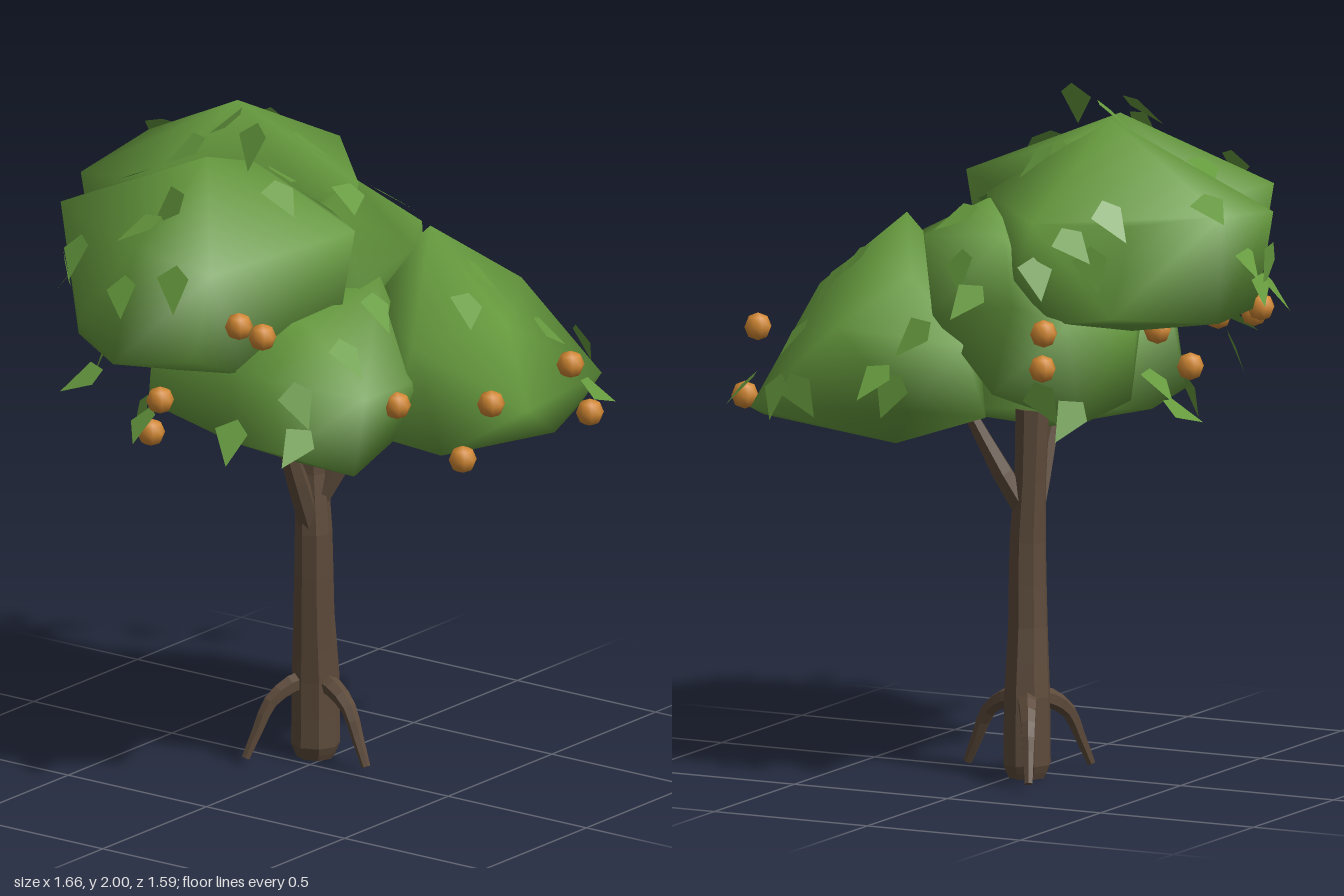
import * as THREE from 'three';
import { mergeVertices } from 'three/addons/utils/BufferGeometryUtils.js';
import { ConvexGeometry } from 'three/addons/geometries/ConvexGeometry.js';

const V = (p) => new THREE.Vector3(p[0], p[1], p[2]);
const material = (name, color, extra = {}) =>
  Object.assign(new THREE.MeshStandardMaterial({ color, ...extra }), { name });

// Faceted limb: a capped cylinder bent along [x, y, z, radius] stations
function limb(stations, sides = 7) {
  const curve = new THREE.CatmullRomCurve3(stations.map(V));
  const last = stations.length - 1;
  const geo = new THREE.CylinderGeometry(1, 1, 1, sides, last * 2);
  const pos = geo.attributes.position;
  const up = new THREE.Vector3(0, 1, 0), q = new THREE.Quaternion();
  for (let i = 0; i < pos.count; i++) {
    const t = THREE.MathUtils.clamp(pos.getY(i) + 0.5, 0, 1);
    const k = Math.min(Math.floor(t * last), last - 1);
    const r = THREE.MathUtils.lerp(stations[k][3], stations[k + 1][3], t * last - k);
    q.setFromUnitVectors(up, curve.getTangent(t));
    const v = new THREE.Vector3(pos.getX(i) * r, 0, pos.getZ(i) * r).applyQuaternion(q).add(curve.getPoint(t));
    pos.setXYZ(i, v.x, v.y, v.z);
  }
  const flat = geo.toNonIndexed();
  flat.computeVertexNormals();
  return flat;
}

// Smooth-shaded foliage clump: hull around a few corner points
function clump(points) {
  const hull = new ConvexGeometry(points.map(V));
  hull.deleteAttribute('normal');
  const geo = mergeVertices(hull, 1e-4);
  geo.computeVertexNormals();
  return geo;
}

const clumps = {
  foliageBackRight: [
    [-0.31, 1.91, -0.14], [-0.68, 1.73, -0.12], [-0.43, 1.72, -0.58], [-0.17, 1.72, -0.55],
    [-0.14, 1.86, -0.1], [-0.17, 1.73, 0.29], [-0.64, 1.68, 0.12], [-0.75, 1.39, -0.15],
    [-0.67, 1.42, 0.08], [-0.62, 1.45, -0.37], [-0.45, 1.34, -0.5], [0.03, 1.7, 0.05],
    [0.02, 1.74, -0.2], [-0.2, 1.42, 0.25], [-0.5, 1.35, 0.14], [0, 1.42, -0.4], [-0.3, 1.25, -0.15]],
  foliageBackLeft: [
    [0.05, 1.96, -0.3], [0.53, 1.73, -0.29], [0.22, 1.74, -0.75], [-0.12, 1.7, -0.74],
    [0.39, 1.72, -0.54], [-0.17, 1.75, -0.45], [0.18, 1.74, 0.04], [0.03, 1.72, -0.06],
    [0.46, 1.55, -0.2], [0.2, 1.42, -0.73], [-0.1, 1.42, -0.7], [0.43, 1.45, -0.5],
    [0.45, 1.42, -0.3], [0.1, 1.34, -0.3], [-0.2, 1.45, -0.5], [0.2, 1.4, 0]],
  foliageFrontLeft: [
    [0.18, 1.66, 0.3], [0.62, 1.39, 0.3], [0.66, 1.14, 0.56], [0.4, 1.52, 0.17],
    [0.25, 0.99, 0.3], [0.09, 1.2, 0.72], [-0.2, 1.43, 0.52], [0.15, 1.42, 0.6],
    [-0.02, 1.47, 0.27], [0.2, 1.45, 0.07], [0.46, 1.34, -0.03], [0.55, 1.15, 0.1],
    [-0.1, 1.08, 0.55], [0, 1.05, 0.3], [0.3, 1.1, -0.02], [0.3, 1.07, 0.66], [0.5, 1.09, 0.6]],
  foliageMiddle: [
    [0.48, 1.47, -0.2], [0.46, 1.42, 0.07], [0.45, 1.42, -0.36], [0.38, 1.12, -0.37], [0.45, 1.2, -0.12],
    [0.2, 1.75, -0.02], [0.4, 1.66, -0.13], [0.02, 1.71, 0.05], [-0.1, 1.54, 0.26], [0.12, 1.6, 0.28],
    [0.3, 1.62, 0.18], [0.1, 1.4, -0.41], [0.1, 1.15, -0.39], [-0.15, 1.4, -0.3],
    [0.1, 1.12, 0], [-0.2, 1.3, 0.1]],
  foliageLowRight: [
    [-0.53, 1.37, 0.1], [-0.51, 1.14, 0.1], [-0.2, 1, 0.1], [0, 1.03, -0.07], [-0.36, 1.3, 0.47],
    [-0.1, 1.3, 0.48], [-0.53, 1.36, 0.25], [-0.5, 1.13, 0.27], [-0.36, 1.06, 0.43], [-0.05, 1.1, -0.38],
    [-0.3, 1.12, -0.36], [-0.15, 1.4, -0.38], [-0.42, 1.4, -0.25], [-0.35, 1.49, 0.25],
    [0, 1.55, 0.25], [0, 1.05, 0.3], [0.2, 1.2, 0.1], [0.15, 1.12, -0.2]],
};

const fruits = [
  [-0.57, 1.52, 0.17], [-0.51, 1.48, 0.21], [-0.59, 1.25, -0.1], [-0.5, 1.11, -0.2], [-0.21, 1.38, -0.63],
  [-0.1, 1.42, -0.71], [-0.08, 1.23, -0.49], [-0.12, 1.38, -0.56], [0.03, 1.35, -0.44], [0.53, 1.41, -0.33],
  [0.5, 1.3, -0.31], [0.27, 1.3, 0.74], [0.39, 1.12, 0.72], [-0.22, 1.25, 0.48], [-0.02, 1.24, 0.67],
  [-0.09, 1.08, 0.62]];

// Leaves hovering around the canopy
const looseLeaves = [
  [-0.25, 1.45, -0.67], [-0.75, 1.7, -0.29], [-0.78, 1.62, -0.1], [-0.64, 1.2, 0.19], [-0.52, 1.18, 0.34],
  [-0.05, 1.5, -0.73], [0.08, 1.6, -0.75], [0.46, 1.75, -0.51], [0.53, 1.68, -0.42], [0.52, 1.58, -0.3],
  [0.57, 1.5, -0.1], [0.67, 1.4, 0.02], [0.77, 1.28, 0.1], [0.72, 1.2, 0.45], [0.46, 1.16, 0.69],
  [-0.23, 1.95, -0.04], [-0.32, 1.93, -0.2], [-0.54, 1.83, -0.1], [-0.1, 1.95, -0.22], [-0.73, 1.66, 0.05],
  [-0.55, 1.15, -0.2], [-0.3, 1.25, -0.52], [0.05, 1.2, -0.45], [0.43, 1.15, -0.36], [-0.62, 1.28, -0.35],
  [-0.35, 1.1, -0.35], [-0.15, 1.08, -0.42], [-0.5, 1.3, 0.33]];

// Leaves lying against the clumps
const surfaceLeaves = [
  [0.25, 1.52, 0.45], [0.45, 1.31, 0.55], [0.45, 1.57, 0], [-0.35, 1.4, 0.4], [0.06, 1.47, 0.5],
  [-0.27, 1.8, -0.47], [-0.58, 1.75, -0.15], [0.2, 1.72, -0.65], [-0.1, 1.85, -0.04], [-0.28, 1.85, 0.09],
  [0.25, 1.65, 0.07], [0.1, 1.68, 0.05], [-0.13, 1.5, 0.38], [0.25, 1.45, 0.52], [0.68, 1.18, 0.45],
  [0.48, 1.62, -0.47], [0.6, 1.2, 0.16], [-0.5, 1.55, -0.45], [-0.1, 1.55, -0.7], [0.12, 1.8, -0.1],
  [0.45, 1.18, -0.29]];

export function createModel() {
  const tree = new THREE.Group();
  tree.name = 'fruitTree';
  const bark = material('bark brown', 0x5c4a3a);
  const green = material('foliage green', 0x669a3e);
  const leafGreen = material('leaf green', 0x669a3e, { side: THREE.DoubleSide });
  const orange = material('fruit orange', 0xd08733);
  const add = (name, geo, mat) => {
    const mesh = new THREE.Mesh(geo, mat);
    mesh.name = name;
    tree.add(mesh);
    return mesh;
  };

  // Trunk and branches
  add('trunk', limb([
    [0.08, 0.01, -0.04, 0.055], [0.08, 0.05, -0.04, 0.072], [0.08, 0.25, -0.04, 0.07],
    [0.065, 0.45, -0.035, 0.06], [0.057, 0.7, -0.03, 0.055], [0.06, 0.88, -0.04, 0.048],
    [0.055, 1.09, -0.045, 0.052]], 8), bark);
  add('rightBranch', limb([[0.06, 0.68, -0.03, 0.035], [-0.02, 0.87, -0.03, 0.033], [-0.12, 1.12, -0.04, 0.018]], 6), bark);
  add('leftBranch', limb([[0.06, 0.78, -0.03, 0.035], [0.1, 0.9, 0.03, 0.033], [0.16, 1.12, 0.13, 0.018]], 6), bark);

  // Three roots, reaching out and bending down to the ground
  for (const [dx, dz] of [[-0.05, 0.22], [0.2, -0.11], [-0.19, -0.11]]) {
    add('root', limb([[0, 0.25, 0.034], [0.35, 0.235, 0.029], [0.65, 0.19, 0.023], [0.82, 0.115, 0.018], [1, 0.03, 0.013]]
      .map(([s, y, r]) => [0.08 + dx * s, y, -0.04 + dz * s, r]), 6), bark);
  }

  // Canopy
  const canopy = Object.entries(clumps).map(([name, points]) => add(name, clump(points), green));

  // Fruit
  const fruitGeo = new THREE.SphereGeometry(0.041, 8, 4);
  for (const p of fruits) add('fruit', fruitGeo, orange).position.copy(V(p));

  // Kite-shaped leaves, tip down
  const leafShape = new THREE.Shape([[0, -0.085], [0.052, 0.015], [0.015, 0.06], [-0.05, 0.03]]
    .map(([x, y]) => new THREE.Vector2(x, y)));
  const leafGeo = new THREE.ShapeGeometry(leafShape);
  const centre = new THREE.Vector3(0, 1.35, 0);
  const leaf = (position, facing, i, tilt) => {
    const mesh = add('leaf', leafGeo, leafGreen);
    mesh.position.copy(position);
    mesh.lookAt(position.clone().add(facing));
    mesh.rotateZ(Math.sin(i * 7.3) * 0.6);
    mesh.rotateX(Math.sin(i * 3.1) * tilt);
  };
  // Loose leaves lean outward and upward
  looseLeaves.forEach((p, i) => {
    const facing = V(p).sub(centre).setY(0).normalize().setY(0.75);
    leaf(V(p), facing, i, 0.35);
  });
  // Surface leaves follow the clump beneath them
  const ray = new THREE.Raycaster();
  surfaceLeaves.forEach((p, i) => {
    const dir = V(p).sub(centre).normalize();
    ray.set(centre.clone().addScaledVector(dir, 2), dir.clone().negate());
    const hit = ray.intersectObjects(canopy)[0];
    if (hit) leaf(hit.point.addScaledVector(hit.face.normal, 0.012), hit.face.normal, i, 0.12);
  });
  return tree;
}
